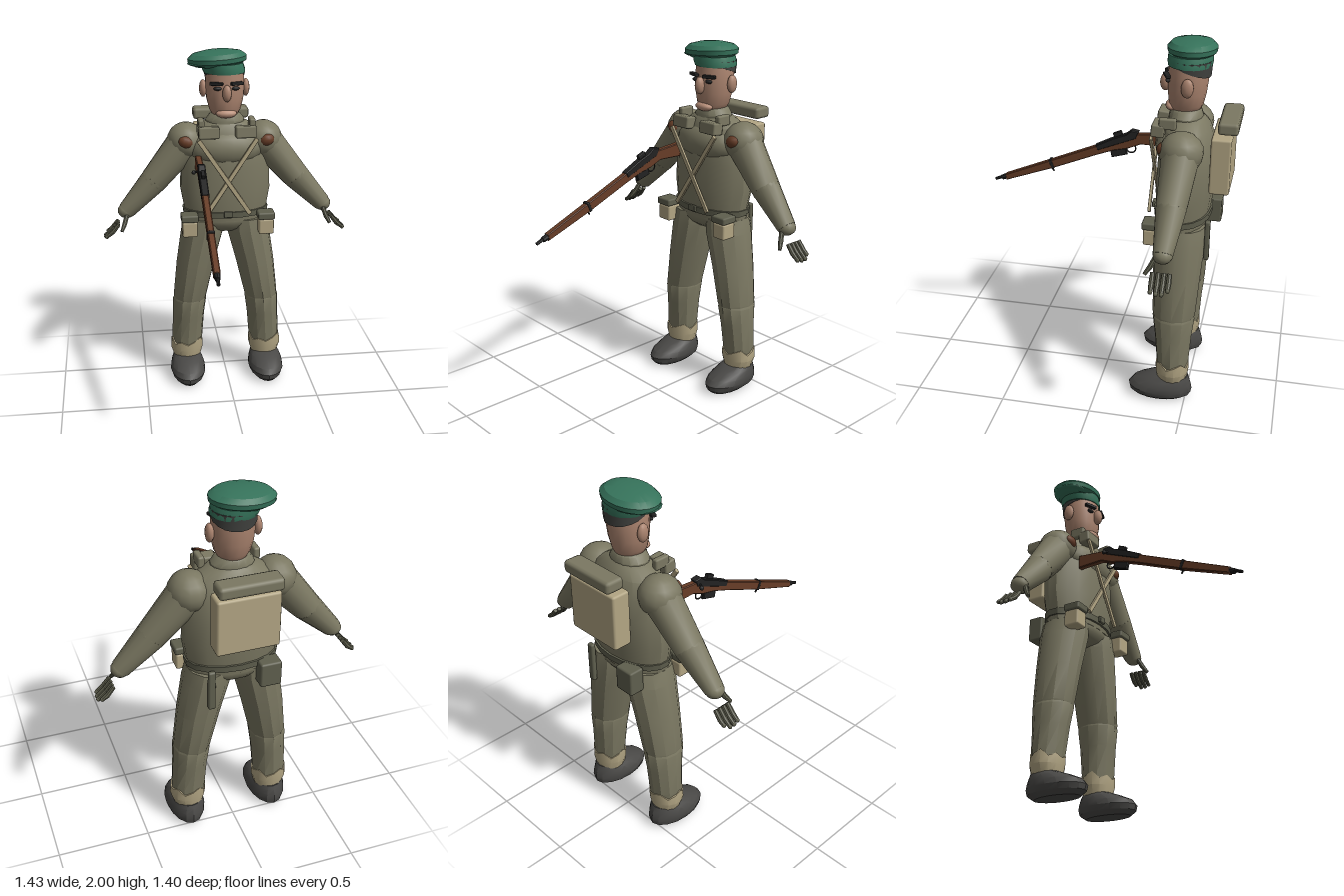
import * as THREE from 'three';
import { toCreasedNormals } from 'three/addons/utils/BufferGeometryUtils.js';
import { RoundedBoxGeometry } from 'three/addons/geometries/RoundedBoxGeometry.js';

const V = (x, y, z) => new THREE.Vector3(x, y, z);

// Closed solid through elliptical rings [y, cx, cz, rx, rz], listed bottom to top
function loft(rings, n = 14, lift = () => 0) {
  const pos = [], idx = [];
  rings.forEach(([y, cx, cz, rx, rz], r) => {
    for (let i = 0; i < n; i++) {
      const a = (i / n) * Math.PI * 2;
      pos.push(cx + rx * Math.sin(a), y + lift(r, i, a), cz + rz * Math.cos(a));
    }
  });
  const last = rings.length - 1, bottom = rings.length * n, top = bottom + 1;
  for (const r of [0, last]) pos.push(rings[r][1], rings[r][0], rings[r][2]);
  for (let i = 0; i < n; i++) {
    const j = (i + 1) % n;
    for (let r = 0; r < last; r++) {
      const a = r * n + i, b = r * n + j;
      idx.push(a, b, b + n, a, b + n, a + n);
    }
    idx.push(bottom, j, i, top, last * n + i, last * n + j);
  }
  const g = new THREE.BufferGeometry();
  g.setAttribute('position', new THREE.Float32BufferAttribute(pos, 3));
  g.setIndex(idx);
  return toCreasedNormals(g, 0.5);
}

export function createModel() {
  const model = new THREE.Group();
  model.name = 'soldier';
  const mat = (name, color) => {
    const m = new THREE.MeshStandardMaterial({ color });
    m.name = name;
    return m;
  };
  const cloth = mat('uniform cloth', 0x7b7862), web = mat('dark webbing', 0x5f5f4e);
  const canvas = mat('canvas', 0xb3a684), skin = mat('skin', 0xab846f);
  const lip = mat('lips', 0xbd937d), green = mat('cap green', 0x36735b);
  const hairGrey = mat('hair', 0x40413e), boot = mat('boot leather', 0x494846);
  const wood = mat('brown wood', 0x673d27), black = mat('gunmetal', 0x222222);

  const add = (name, geo, m, parent = model) => {
    const mesh = new THREE.Mesh(geo, m);
    mesh.name = name;
    parent.add(mesh);
    return mesh;
  };
  const box = (name, m, x, y, z, w, h, d, r = 0.01) => {
    const mesh = add(name, new RoundedBoxGeometry(w, h, d, 1, r), m);
    mesh.position.set(x, y, z);
    return mesh;
  };
  const ball = (name, m, x, y, z, rx, ry, rz, n = 14) => {
    const mesh = add(name, new THREE.SphereGeometry(1, n, 10), m);
    mesh.scale.set(rx, ry, rz);
    mesh.position.set(x, y, z);
    return mesh;
  };
  // Tapered rod from a to b
  const rod = (name, m, a, b, ra, rb = ra, n = 8) => {
    const d = b.clone().sub(a);
    const g = toCreasedNormals(new THREE.CylinderGeometry(rb, ra, d.length(), n), 0.6);
    const mesh = add(name, g, m);
    mesh.position.copy(a).add(b).multiplyScalar(0.5);
    mesh.quaternion.setFromUnitVectors(V(0, 1, 0), d.normalize());
    return mesh;
  };

  // Jacket and hips
  add('jacket', loft([
    [1.03, 0, -0.42, 0.24, 0.14], [1.1, 0, -0.42, 0.247, 0.147], [1.2, 0, -0.425, 0.265, 0.155],
    [1.35, 0, -0.43, 0.26, 0.155], [1.47, 0, -0.43, 0.245, 0.145], [1.55, 0, -0.425, 0.205, 0.12],
    [1.595, 0, -0.42, 0.13, 0.095], [1.61, 0, -0.42, 0.09, 0.08]], 18), cloth);
  ball('chest', cloth, 0, 1.45, -0.37, 0.215, 0.115, 0.108, 18);
  ball('hips', cloth, 0, 1.03, -0.42, 0.235, 0.095, 0.138, 18);
  add('collar', loft([[1.57, 0, -0.415, 0.115, 0.09], [1.61, 0, -0.415, 0.112, 0.09],
    [1.64, 0, -0.415, 0.09, 0.08], [1.65, 0, -0.415, 0.075, 0.07]], 16), cloth);
  add('belt', loft([[1.055, 0, -0.42, 0.25, 0.155], [1.09, 0, -0.42, 0.254, 0.157]], 18), web);
  box('buckle', web, 0, 1.08, -0.26, 0.05, 0.035, 0.02, 0.005);

  // Head, smooth
  add('head', loft([
    [1.615, 0, -0.41, 0.045, 0.05], [1.635, 0, -0.41, 0.07, 0.075], [1.67, 0, -0.412, 0.09, 0.09],
    [1.73, 0, -0.415, 0.105, 0.1], [1.79, 0, -0.417, 0.11, 0.105], [1.85, 0, -0.42, 0.11, 0.105],
    [1.91, 0, -0.42, 0.1, 0.1]], 18), skin);
  ball('nose', skin, 0, 1.775, -0.303, 0.026, 0.048, 0.03, 10);
  ball('mouth', lip, 0, 1.655, -0.34, 0.06, 0.026, 0.035, 12);
  add('hair', loft([[1.855, 0, -0.428, 0.113, 0.107], [1.905, 0, -0.428, 0.115, 0.113]], 18,
    (r, i, a) => (r ? 0 : 0.035 * Math.cos(a))), hairGrey);

  // Cap leaning to one side
  add('capBand', loft([[1.875, 0, -0.425, 0.118, 0.113], [1.895, -0.005, -0.425, 0.122, 0.117],
    [1.93, -0.015, -0.425, 0.12, 0.115]], 20), green);
  const crown = add('capCrown', loft([[-0.035, 0, 0, 0.13, 0.1], [-0.015, 0, 0, 0.165, 0.125],
    [0.01, 0, 0, 0.168, 0.129], [0.033, 0, 0, 0.14, 0.108], [0.046, 0, 0, 0.08, 0.06],
    [0.049, 0, 0, 0.02, 0.015]], 24), green);
  crown.position.set(-0.04, 1.95, -0.43);
  crown.rotation.z = 0.06;
  ball('capRim', green, -0.11, 1.926, -0.425, 0.1, 0.017, 0.1);

  for (const s of [1, -1]) {
    // Face details
    ball('ear', skin, s * 0.122, 1.785, -0.43, 0.022, 0.05, 0.033, 10);
    const brow = box('eyebrow', black, s * 0.058, 1.828, -0.316, 0.075, 0.018, 0.025, 0.004);
    brow.rotation.y = s * 0.35;
    ball('eye', black, s * 0.05, 1.8, -0.322, 0.024, 0.011, 0.014, 8);

    // Arm
    const shoulder = V(s * 0.225, 1.485, -0.425), elbow = V(s * 0.415, 1.26, -0.41);
    const wrist = V(s * 0.58, 1.085, -0.4);
    ball('shoulder', cloth, shoulder.x, shoulder.y, shoulder.z, 0.11, 0.108, 0.115);
    rod('upperArm', cloth, shoulder, elbow, 0.102, 0.08, 12);
    ball('elbow', cloth, elbow.x, elbow.y, elbow.z, 0.079, 0.079, 0.079);
    rod('forearm', cloth, elbow, wrist, 0.08, 0.052, 12);
    ball('cuff', cloth, wrist.x, wrist.y, wrist.z, 0.051, 0.045, 0.051, 12);

    // Hand
    rod('thumb', web, V(s * 0.575, 1.08, -0.37), V(s * 0.595, 1.02, -0.34), 0.014, 0.014);
    rod('thumbTip', web, V(s * 0.595, 1.02, -0.34), V(s * 0.612, 0.985, -0.315), 0.014, 0.01);
    for (let i = 0; i < 4; i++) {
      const z = -0.36 - i * 0.028, reach = i === 3 ? -0.015 : i === 0 ? -0.005 : 0;
      const mid = V(s * 0.665, 0.968, z), tip = V(s * (0.705 + reach), 0.935 - reach, z);
      rod('finger', web, V(s * 0.63, 1.012, z), mid, 0.012, 0.014);
      rod('fingerTip', web, mid, tip, 0.014, 0.011);
      ball('fingerEnd', web, tip.x, tip.y, tip.z, 0.012, 0.012, 0.012, 6);
    }

    // Leg with a fold at the knee
    add('thigh', loft([
      [0.5, s * 0.219, -0.415, 0.094, 0.108], [0.53, s * 0.216, -0.415, 0.1, 0.117],
      [0.75, s * 0.178, -0.418, 0.115, 0.128], [0.95, s * 0.136, -0.42, 0.127, 0.14],
      [1.03, s * 0.125, -0.42, 0.115, 0.135]], 12), cloth);
    add('shin', loft([
      [0.14, s * 0.24, -0.42, 0.078, 0.08], [0.25, s * 0.238, -0.42, 0.093, 0.09],
      [0.4, s * 0.228, -0.417, 0.095, 0.102], [0.51, s * 0.219, -0.415, 0.101, 0.116],
      [0.53, s * 0.217, -0.415, 0.095, 0.11]], 12), cloth);
    add('gaiter', loft([
      [0.12, s * 0.24, -0.42, 0.079, 0.08], [0.18, s * 0.242, -0.42, 0.098, 0.092],
      [0.235, s * 0.24, -0.42, 0.097, 0.093]], 14,
    (r, i) => (r === 2 ? (i % 3 - 1) * 0.018 : 0)), canvas);
    add('boot', loft([
      [0.005, s * 0.242, -0.35, 0.07, 0.14], [0.03, s * 0.242, -0.355, 0.096, 0.174],
      [0.06, s * 0.242, -0.355, 0.106, 0.18], [0.09, s * 0.242, -0.365, 0.102, 0.165],
      [0.12, s * 0.242, -0.395, 0.09, 0.125], [0.142, s * 0.242, -0.42, 0.075, 0.09]], 16), boot);

    // Webbing: crossed strap, chest pocket, belt pouch, shoulder pad
    const strap = box('crossStrap', canvas, s * -0.02, 1.305, -0.255 + s * 0.004, 0.026, 0.53, 0.016, 0.004);
    strap.rotation.z = s * 0.585;
    const pocket = box('chestPocket', cloth, s * 0.105, 1.56, -0.29, 0.12, 0.068, 0.07);
    pocket.rotation.x = -0.1;
    box('pocketTab', cloth, s * 0.145, 1.6, -0.34, 0.035, 0.06, 0.09);
    box('beltPouch', canvas, s * 0.222, 1.0, -0.288, 0.088, 0.09, 0.09);
    box('pouchLid', web, s * 0.222, 1.066, -0.285, 0.1, 0.042, 0.1);
    const pad = ball('shoulderPad', wood, s * 0.232, 1.498, -0.335, 0.045, 0.036, 0.035, 10);
    pad.rotation.z = s * 0.3;
  }

  // Kit on the back
  box('backpack', canvas, 0, 1.388, -0.617, 0.33, 0.305, 0.106, 0.012);
  box('bedroll', cloth, 0, 1.597, -0.648, 0.33, 0.066, 0.106, 0.018);
  box('rearPouch', web, -0.15, 1.02, -0.573, 0.115, 0.138, 0.088);
  box('scabbard', web, 0.155, 0.965, -0.57, 0.04, 0.23, 0.028);

  // Rifle: flat outline in (z, y), extruded across x
  const rx = -0.166;
  const plate = (name, m, pts, width) => {
    const shape = new THREE.Shape(pts.map(([z, y]) => new THREE.Vector2(z, y)));
    const g = new THREE.ExtrudeGeometry(shape, {
      depth: width - 0.01, bevelThickness: 0.005, bevelSize: 0.004, bevelSegments: 1 });
    g.rotateY(-Math.PI / 2).translate(rx + width / 2 - 0.005, 0, 0);
    add(name, g, m);
  };
  plate('rifleStock', wood, [[-0.3, 1.35], [-0.15, 1.355], [-0.08, 1.325], [0, 1.307], [0.1, 1.27],
    [0.35, 1.168], [0.63, 1.066], [0.633, 1.095], [0.35, 1.212], [0.02, 1.35], [-0.06, 1.378],
    [-0.13, 1.405], [-0.3, 1.42]], 0.036);
  plate('receiver', black, [[-0.12, 1.385], [0.09, 1.3], [0.1, 1.322], [0.0, 1.372], [-0.07, 1.4],
    [-0.1, 1.425], [-0.135, 1.42]], 0.042);
  plate('magazine', black, [[-0.07, 1.285], [0.01, 1.262], [0.02, 1.31], [-0.06, 1.335]], 0.026);
  rod('barrel', black, V(rx, 1.115, 0.56), V(rx, 1.057, 0.7), 0.011, 0.009);
  rod('muzzle', black, V(rx, 1.084, 0.625), V(rx, 1.07, 0.66), 0.018, 0.015);
  rod('boltHandle', black, V(rx, 1.4, -0.1), V(-0.205, 1.385, -0.115), 0.006);
  ball('boltKnob', black, -0.208, 1.383, -0.117, 0.012, 0.012, 0.012, 8);
  box('rearSight', black, rx, 1.398, -0.02, 0.022, 0.025, 0.05, 0.004).rotation.x = 0.4;
  box('barrelBand', black, rx, 1.187, 0.36, 0.042, 0.056, 0.018, 0.004).rotation.x = 0.39;
  const guard = add('triggerGuard', new THREE.TorusGeometry(0.026, 0.004, 5, 14), black);
  guard.position.set(rx, 1.318, -0.095);
  guard.rotation.y = Math.PI / 2;
  rod('slingSwivel', black, V(rx, 1.165, 0.365), V(rx, 1.14, 0.35), 0.005);

  return model;
}
